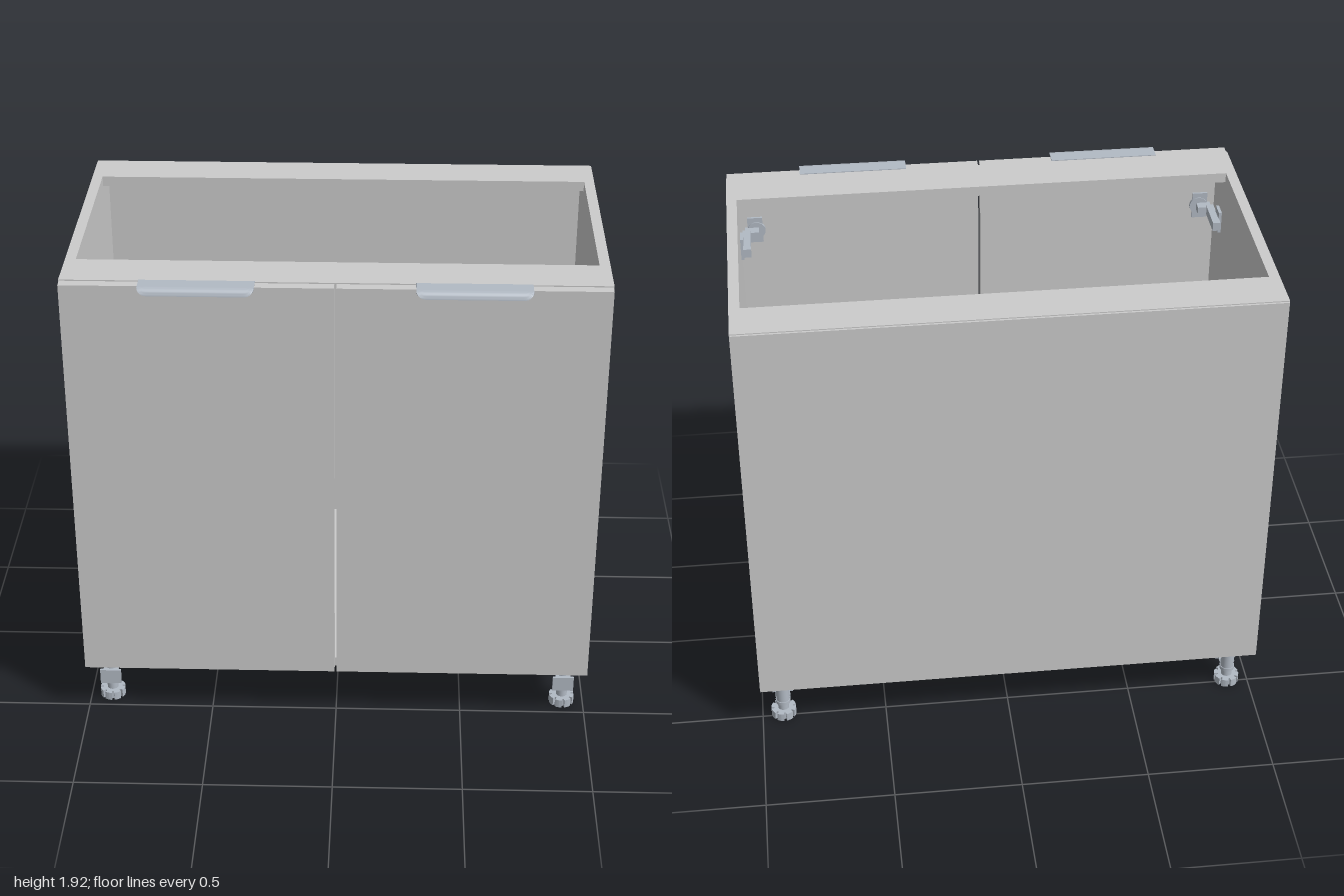
import * as THREE from 'three';
import { toCreasedNormals } from 'three/addons/utils/BufferGeometryUtils.js';

const grey = new THREE.MeshStandardMaterial({ color: 0xcccccc });
const metal = new THREE.MeshStandardMaterial({ color: 0xb2bac4 });

const BOTTOM = 0.23, TOP = 1.916, T = 0.04;
const BACK = -0.61, CARCASS_FRONT = 0.526, DOOR_FRONT = 0.567;

function add(parent, name, geometry, material, x = 0, y = 0, z = 0) {
  const mesh = new THREE.Mesh(geometry, material);
  mesh.name = name;
  mesh.position.set(x, y, z);
  parent.add(mesh);
  return mesh;
}

// Box given by its limits on each axis
function panel(parent, name, [x0, x1], [y0, y1], [z0, z1], material = grey) {
  return add(parent, name, new THREE.BoxGeometry(x1 - x0, y1 - y0, z1 - z0), material,
    (x0 + x1) / 2, (y0 + y1) / 2, (z0 + z1) / 2);
}

function cylinder(parent, name, r, y0, y1, sides = 24, rBottom = r) {
  return add(parent, name, new THREE.CylinderGeometry(r, rBottom, y1 - y0, sides), metal, 0, (y0 + y1) / 2, 0);
}

// Edge pull: a thin plate bent down at the front, with rounded front corners
function handleGeometry() {
  const half = 0.21, thick = 0.005, flat = 0.06, bend = 0.025, corner = 0.035;
  const full = flat + bend * Math.PI / 2;
  const g = new THREE.BoxGeometry(2, thick, 1, 36, 1, 16);
  const p = g.attributes.position;
  for (let i = 0; i < p.count; i++) {
    const x = half * Math.sin(p.getX(i) * Math.PI / 2);
    const d = Math.max(0, Math.abs(x) - (half - corner));
    const length = full - corner + Math.sqrt(Math.max(0, corner * corner - d * d));
    const s = (p.getZ(i) + 0.5) * length;
    const a = Math.max(0, s - flat) / bend;
    const r = bend + p.getY(i) - thick / 2;
    p.setXYZ(i, x, r * Math.cos(a) - bend, Math.min(s, flat) + r * Math.sin(a));
  }
  return toCreasedNormals(g, 0.6);
}

// Disc with notches cut around its rim
function notchedDisc(radius, depth, height, notches) {
  const shape = new THREE.Shape();
  const steps = notches * 8;
  for (let i = 0; i < steps; i++) {
    const cut = i % 8 === 0 || i % 8 === 1;
    const r = cut ? radius - depth : radius;
    const a0 = (i / steps) * Math.PI * 2, a1 = ((i + 1) / steps) * Math.PI * 2;
    for (const a of [a0, a1 - 1e-3]) {
      if (i === 0 && a === a0) shape.moveTo(r * Math.cos(a), r * Math.sin(a));
      else shape.lineTo(r * Math.cos(a), r * Math.sin(a));
    }
  }
  const g = new THREE.ExtrudeGeometry(shape, { depth: height, bevelEnabled: false });
  g.rotateX(-Math.PI / 2);
  return toCreasedNormals(g, 0.5);
}

// Adjustable foot with a plinth clip on its front
function makeLeg() {
  const leg = new THREE.Group();
  leg.name = 'leg';
  add(leg, 'footPad', notchedDisc(0.05, 0.012, 0.035, 8), metal);
  cylinder(leg, 'threadedStem', 0.022, 0.03, 0.08);
  cylinder(leg, 'stemCollar', 0.03, 0.065, 0.08);
  cylinder(leg, 'legTube', 0.027, 0.08, 0.18);
  add(leg, 'mountingCap', notchedDisc(0.048, 0.014, 0.04, 6), metal, 0, 0.185, 0);
  cylinder(leg, 'capFlange', 0.054, 0.218, BOTTOM);
  cylinder(leg, 'capNeck', 0.038, 0.17, 0.186, 24, 0.028);
  panel(leg, 'clipPlate', [-0.042, 0.042], [0.082, 0.145], [0.036, 0.046], metal);
  for (const y of [0.088, 0.132]) {
    panel(leg, 'clipArm', [-0.03, 0.03], [y, y + 0.008], [0, 0.038], metal);
  }
  return leg;
}

// Concealed hinge for the +x side: cup in the door, arm on the side panel
function makeHinge() {
  const hinge = new THREE.Group();
  hinge.name = 'hinge';
  const inner = 1 - T;
  panel(hinge, 'hingePlate', [inner - 0.012, inner], [-0.045, 0.045], [0.37, 0.43], metal);
  panel(hinge, 'hingeArm', [inner - 0.04, inner - 0.01], [-0.018, 0.018], [0.34, 0.49], metal);
  panel(hinge, 'hingeLink', [inner - 0.075, inner - 0.02], [-0.014, 0.014], [0.475, 0.52], metal);
  panel(hinge, 'cupFlange', [inner - 0.09, inner - 0.03], [-0.055, 0.055], [0.519, 0.528], metal);
  const cup = add(hinge, 'hingeCup', new THREE.CylinderGeometry(0.036, 0.036, 0.012, 24), metal, inner - 0.065, 0, 0.521);
  cup.rotation.x = Math.PI / 2;
  return hinge;
}

export function createModel() {
  const model = new THREE.Group();
  model.name = 'baseCabinet';
  const inner = 1 - T;

  // Carcass
  panel(model, 'bottomPanel', [-inner, inner], [BOTTOM, BOTTOM + T], [BACK + 0.008, CARCASS_FRONT]);
  panel(model, 'backPanel', [-0.998, 0.998], [BOTTOM + 0.003, TOP - 0.004], [BACK, BACK + 0.008]);
  panel(model, 'frontRail', [-inner, inner], [TOP - T, TOP], [0.35, CARCASS_FRONT]);
  panel(model, 'backRail', [-inner, inner], [TOP - T, TOP], [BACK + 0.008, -0.433]);

  const handle = handleGeometry();
  for (const s of [-1, 1]) {
    const span = (a, b) => (s > 0 ? [a, b] : [-b, -a]);
    panel(model, 'sidePanel', span(inner, 1), [BOTTOM, TOP], [BACK + 0.008, CARCASS_FRONT]);
    panel(model, 'door', span(0.004, 0.997), [BOTTOM + 0.002, TOP - 0.003], [CARCASS_FRONT + 0.003, DOOR_FRONT]);
    add(model, 'handle', handle, metal, s * 0.5, TOP + 0.003, 0.525);

    // Hinges, two to a door
    for (const y of [0.46, 1.68]) {
      const hinge = makeHinge();
      hinge.position.y = y;
      hinge.scale.x = s;
      model.add(hinge);
    }

    // Legs
    for (const z of [0.42, -0.487]) {
      const leg = makeLeg();
      leg.position.set(s * 0.914, 0, z);
      model.add(leg);
    }
  }
  return model;
}
